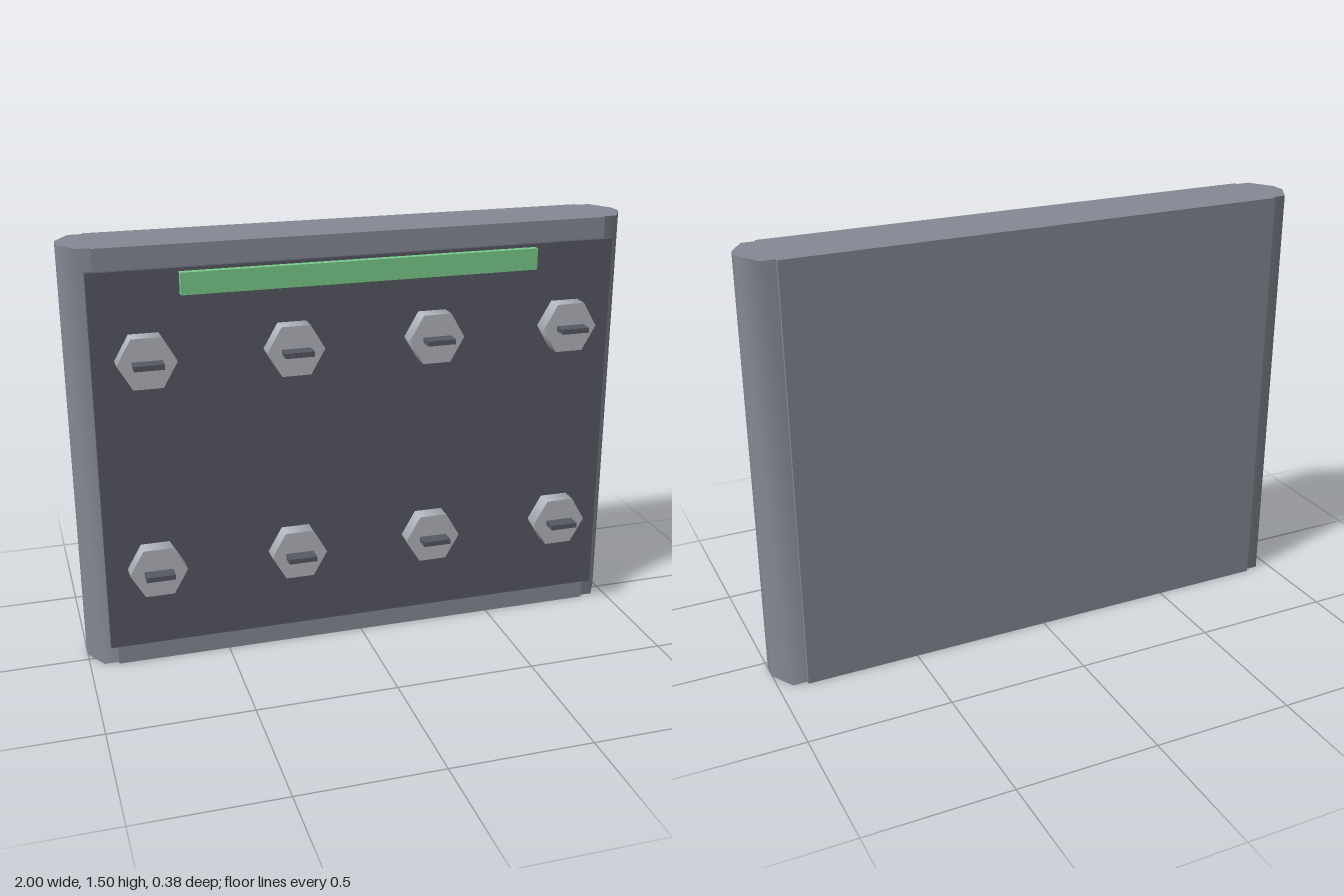
import * as THREE from 'three';
import { toCreasedNormals } from 'three/addons/utils/BufferGeometryUtils.js';

const material = (name, color) => {
  const m = new THREE.MeshStandardMaterial({ color });
  m.name = name;
  return m;
};

export function createModel() {
  const grey = material('casing grey', 0x858994);
  const dark = material('panel dark grey', 0x575963);
  const silver = material('knob silver', 0xb3b6bf);
  const green = material('indicator green', 0x7acb8a);

  const group = new THREE.Group();
  group.name = 'controlPanel';

  const add = (parent, name, geometry, mat, x, y, z) => {
    const mesh = new THREE.Mesh(geometry, mat);
    mesh.name = name;
    mesh.position.set(x, y, z);
    parent.add(mesh);
    return mesh;
  };

  // Casing, with its middle depth at z = -0.0625
  const midZ = -0.0625;
  add(group, 'casing', new THREE.BoxGeometry(1.8, 1.5, 0.25), grey, 0, 0.75, midZ);

  // Rounded side caps: a faceted profile extruded upwards with softened edges
  const profile = new THREE.Shape([
    [-0.1, -0.112], [0.05, -0.112], [0.1, -0.028],
    [0.1, 0.028], [0.05, 0.112], [-0.1, 0.112],
  ].map(([x, y]) => new THREE.Vector2(x, y)));
  const capGeometry = toCreasedNormals(
    new THREE.ExtrudeGeometry(profile, { depth: 1.5, bevelEnabled: false })
      .rotateX(-Math.PI / 2), 1.2);
  add(group, 'leftCap', capGeometry, grey, 0.9, 0, midZ);
  add(group, 'rightCap', capGeometry.clone().rotateY(Math.PI), grey, -0.9, 0, midZ);

  // Front panel and indicator strip
  add(group, 'frontPanel', new THREE.BoxGeometry(1.85, 1.35, 0.025), dark, 0, 0.75, 0.0665);
  add(group, 'indicatorStrip', new THREE.BoxGeometry(1.25, 0.075, 0.025), green, 0, 1.3775, 0.0985);

  // Two rows of four hexagonal knobs, each with a pointer blade
  const knobGeometry = new THREE.CylinderGeometry(0.1, 0.1, 0.07, 6, 1, false, Math.PI / 2)
    .rotateX(Math.PI / 2);
  const pointerGeometry = new THREE.BoxGeometry(0.1, 0.018, 0.06);
  for (const y of [0.375, 1.128]) {
    for (const x of [-0.75, -0.25, 0.25, 0.75]) {
      const control = new THREE.Group();
      control.name = 'knob';
      control.position.set(x, y, 0);
      add(control, 'knobBody', knobGeometry, silver, 0, 0, 0.104);
      add(control, 'knobPointer', pointerGeometry, dark, 0, 0, 0.159);
      group.add(control);
    }
  }
  return group;
}
